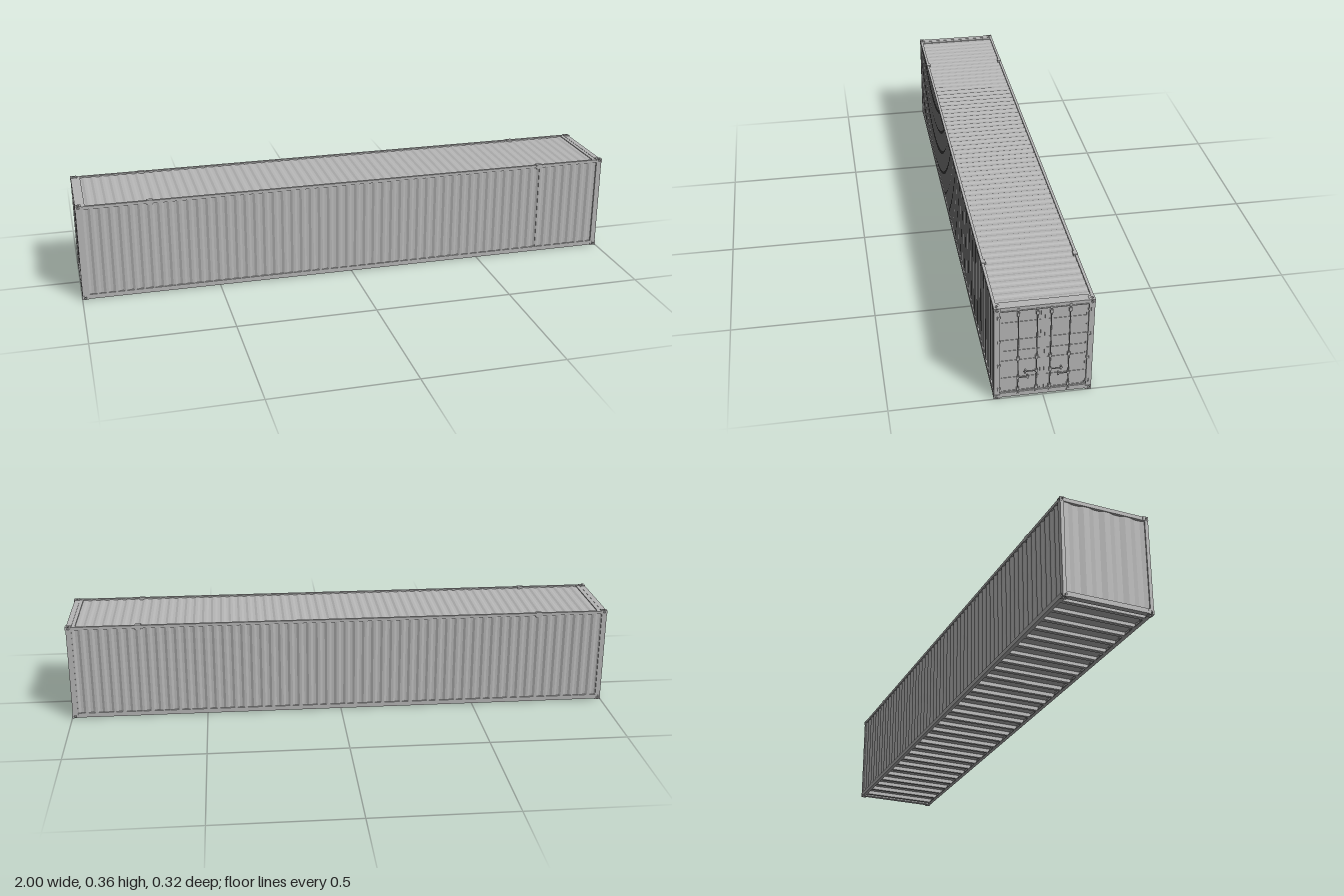
import * as THREE from 'three';

const H = 0.36, W = 0.16, L = 1; // height, half width, half length

export function createModel() {
  const steel = new THREE.MeshStandardMaterial({ color: 0xb6b6b6 });
  steel.name = 'grey painted steel';
  const root = new THREE.Group();
  root.name = 'shippingContainer';

  const add = (name, geo, x = 0, y = 0, z = 0, parent = root) => {
    const m = new THREE.Mesh(geo, steel);
    m.name = name;
    m.position.set(x, y, z);
    parent.add(m);
    return m;
  };
  // Box given by its lower and upper limits
  const block = (name, x0, x1, y0, y1, z0, z1, parent = root) =>
    add(name, new THREE.BoxGeometry(x1 - x0, y1 - y0, z1 - z0),
      (x0 + x1) / 2, (y0 + y1) / 2, (z0 + z1) / 2, parent);

  // Trapezoid corrugated sheet: profile along x, ridges run along z
  const corrugated = (length, run, count, depth) => {
    const p = length / count, top = [], t = 0.0015;
    for (let i = 0; i < count; i++) {
      const x = -length / 2 + i * p;
      top.push([x, 0], [x + p * 0.26, 0], [x + p * 0.5, -depth], [x + p * 0.76, -depth]);
    }
    top.push([length / 2, 0]);
    const under = top.map(([x, y]) => [x, y - t]).reverse();
    const shape = new THREE.Shape([...top, ...under].map(([x, y]) => new THREE.Vector2(x, y)));
    return new THREE.ExtrudeGeometry(shape, { depth: run, bevelEnabled: false }).translate(0, 0, -run / 2);
  };

  // Roof, side walls and closed end
  add('roofSheet', corrugated(1.972, 0.302, 60, 0.003), 0, 0.3545, 0);
  for (const s of [1, -1]) {
    const wall = corrugated(1.966, 0.338, 57, 0.0045).rotateX(Math.PI / 2);
    if (s < 0) wall.rotateY(Math.PI);
    add('sideWall', wall, 0, 0.182, s * 0.1575);
  }
  const endWall = corrugated(0.3, 0.336, 4, 0.006).rotateX(Math.PI / 2).rotateY(-Math.PI / 2);
  add('endWall', endWall, -0.9955, 0.182, 0);
  block('wallSeam', 0.741, 0.746, 0.018, 0.35, 0.153, 0.1595);

  // Floor and cross members
  block('floor', -0.985, 0.985, 0.018, 0.022, -0.153, 0.153);
  for (let i = 0; i < 30; i++) {
    const x = -0.957 + i * 0.066;
    block('crossMember', x - 0.002, x + 0.002, 0.003, 0.019, -0.153, 0.153);
    block('crossMemberFlange', x - 0.006, x + 0.006, 0.002, 0.005, -0.153, 0.153);
  }

  // Long rails, posts and end beams
  for (const s of [1, -1]) {
    const bar = (name, x0, x1, y0, y1, a, b) =>
      block(name, x0, x1, y0, y1, Math.min(a * s, b * s), Math.max(a * s, b * s));
    bar('topRail', -0.985, 0.985, 0.347, 0.358, 0.15, W - 0.0005);
    bar('bottomRail', -0.985, 0.985, 0.002, 0.019, 0.153, W - 0.0005);
    bar('bottomRailLip', -0.985, 0.985, 0.002, 0.005, 0.146, 0.155);
    bar('endPost', -0.999, -0.98, 0.01, 0.35, 0.147, W - 0.0005);
    bar('doorPost', 0.978, 0.998, 0.01, 0.35, 0.141, W - 0.0005);
    for (const x of [-0.74, 0.74]) bar('liftingFitting', x - 0.011, x + 0.011, 0.342, H, 0.145, W);
  }
  for (const [a, b] of [[-0.999, -0.98], [0.978, 0.997]]) {
    block('topEndBeam', a, b, 0.344, 0.358, -0.15, 0.15);
    block('bottomEndBeam', a, b, 0.002, 0.019, -0.15, 0.15);
  }
  block('roofEndPlate', -0.985, -0.965, 0.354, 0.357, -0.15, 0.15);
  block('roofDoorPlate', 0.965, 0.985, 0.354, 0.357, -0.15, 0.15);
  block('doorHeaderGutter', 0.994, 0.999, 0.343, 0.346, -0.142, 0.142);

  // Corner castings: a core with holed plates on its outer faces
  const holedPlate = (w, h) => {
    const s = new THREE.Shape();
    s.moveTo(-w / 2, -h / 2).lineTo(w / 2, -h / 2).lineTo(w / 2, h / 2).lineTo(-w / 2, h / 2).closePath();
    const hole = new THREE.Path();
    hole.absellipse(0, 0, 0.0045, 0.0055, 0, Math.PI * 2, true);
    s.holes.push(hole);
    return new THREE.ExtrudeGeometry(s, { depth: 0.003, bevelEnabled: false, curveSegments: 8 });
  };
  for (const sx of [1, -1]) for (const sy of [1, -1]) for (const sz of [1, -1]) {
    const g = new THREE.Group();
    g.name = 'cornerCasting';
    g.position.set(sx * (L - 0.011), sy > 0 ? H - 0.0075 : 0.0075, sz * (W - 0.01));
    add('castingCore', new THREE.BoxGeometry(0.0159, 0.0089, 0.0139), -sx * 0.003, -sy * 0.003, -sz * 0.003, g);
    const side = add('castingSide', holedPlate(0.022, 0.015), 0, 0, sz * 0.007, g);
    if (sz < 0) side.rotation.y = Math.PI;
    const end = add('castingEnd', holedPlate(0.02, 0.015), sx * 0.008, 0, 0, g);
    end.rotation.y = sx * Math.PI / 2;
    const cap = add('castingCap', holedPlate(0.022, 0.02), 0, sy * 0.0045, 0, g);
    cap.rotation.x = -sy * Math.PI / 2;
    root.add(g);
  }

  // Door leaves with recessed panels
  const panels = [[0.023, 0.042], [0.077, 0.117], [0.146, 0.16], [0.185, 0.2], [0.228, 0.265], [0.297, 0.337]];
  for (const s of [1, -1]) {
    const door = new THREE.Group();
    door.name = s > 0 ? 'frontDoor' : 'backDoor';
    root.add(door);
    const rect = (P, z0, z1, y0, y1) =>
      P.moveTo(z0, y0).lineTo(z1, y0).lineTo(z1, y1).lineTo(z0, y1).closePath();
    const leaf = rect(new THREE.Shape(), -0.0695, 0.0695, 0.014, 0.344);
    for (const [y0, y1] of panels) leaf.holes.push(rect(new THREE.Path(), -0.0625, 0.0625, y0, y1));
    const geo = new THREE.ExtrudeGeometry(leaf, { depth: 0.006, bevelEnabled: false }).rotateY(Math.PI / 2);
    add('doorLeaf', geo, 0.986, 0, s * 0.0725, door);
    const c = s * 0.0725;
    block('doorPanel', 0.982, 0.987, 0.014, 0.344, c - 0.0695, c + 0.0695, door);
    block('doorGasket', 0.984, 0.9905, 0.014, 0.344, c - 0.0725, c + 0.0725, door);

    // Locking bars with brackets and cam ends
    for (const z of [0.022, 0.082]) {
      const zz = s * z, wide = z > 0.05;
      const y0 = wide ? 0.008 : 0.014, y1 = wide ? 0.352 : 0.348;
      add('lockBar', new THREE.CylinderGeometry(0.0018, 0.0018, y1 - y0, 10), 0.9965, (y0 + y1) / 2, zz, door);
      for (const y of [0.03, 0.153, 0.328])
        block('barBracket', 0.991, 0.9985, y - 0.006, y + 0.006, zz - 0.0045, zz + 0.0045, door);
      for (const y of [y0 + 0.003, y1 - 0.003])
        block('camEnd', 0.992, 0.9995, y - 0.003, y + 0.003, zz - 0.004, zz + 0.004, door);
    }
    // Handles reach from each bar toward the middle of the leaf
    for (const [from, to, y] of [[0.022, 0.063, 0.099], [0.082, 0.046, 0.077]]) {
      const a = Math.min(s * from, s * to), b = Math.max(s * from, s * to);
      block('handle', 0.9965, 0.9985, y - 0.0015, y + 0.0015, a, b, door);
      const hub = s * from, grip = s * (from < to ? 0.058 : 0.05);
      block('handleHub', 0.992, 0.9992, y - 0.005, y + 0.005, hub - 0.004, hub + 0.004, door);
      block('handleCatch', 0.991, 0.9992, y - 0.006, y + 0.006, grip - 0.002, grip + 0.002, door);
    }
    // Hinges
    for (const y of [0.037, 0.132, 0.227, 0.322]) {
      add('hingePin', new THREE.CylinderGeometry(0.002, 0.002, 0.012, 8), 0.9975, y, s * 0.148, door);
      block('hingeStrap', 0.992, 0.9985, y - 0.003, y + 0.003, s * 0.143 - 0.005, s * 0.143 + 0.005, door);
    }
  }
  return root;
}
